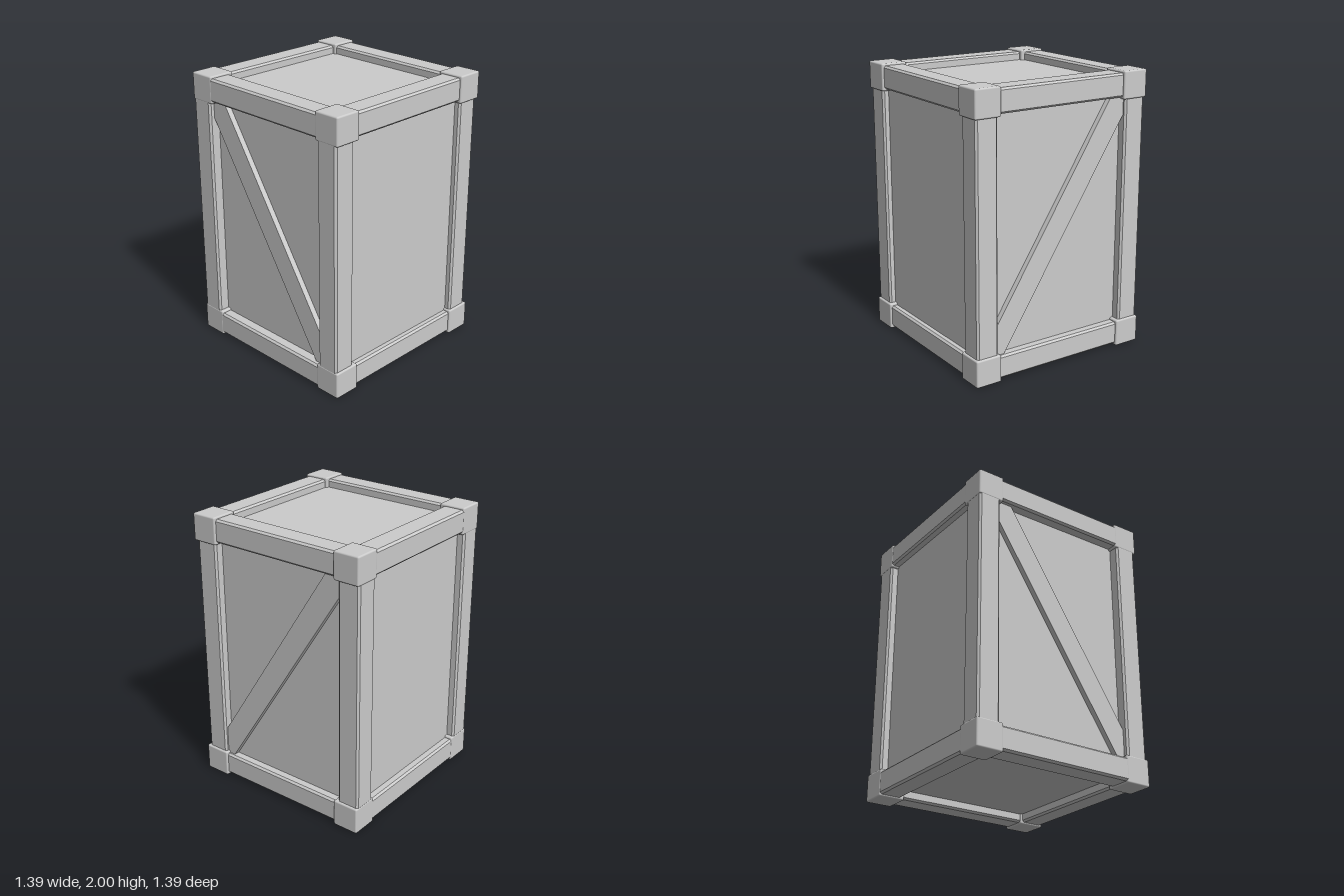
import * as THREE from 'three';
import { RoundedBoxGeometry } from 'three/addons/geometries/RoundedBoxGeometry.js';

export function createModel() {
  const crate = new THREE.Group();
  crate.name = 'crate';
  const mat = new THREE.MeshStandardMaterial({ color: 0xcccccc });

  const add = (name, geometry, x, y, z) => {
    const mesh = new THREE.Mesh(geometry, mat);
    mesh.name = name;
    mesh.position.set(x, y, z);
    crate.add(mesh);
    return mesh;
  };

  // Square bar with chamfered edges, centred, running along z
  const beamGeometry = (length, size = 0.166, c = 0.014) => {
    const h = size / 2, k = h - c;
    const section = new THREE.Shape([
      [h, -k], [h, k], [k, h], [-k, h], [-h, k], [-h, -k], [-k, -h], [k, -h],
    ].map(([x, y]) => new THREE.Vector2(x, y)));
    const g = new THREE.ExtrudeGeometry(section, { depth: length, bevelEnabled: false });
    return g.translate(0, 0, -length / 2);
  };

  // Recessed panels form the body of the crate
  add('panels', new THREE.BoxGeometry(1.27, 1.85, 1.23), 0, 1, 0);

  // Frame beams sit very slightly off centre
  const r = 0.603, ox = -0.006, oz = 0.007;
  const levels = [0.096, 1.902];
  const across = beamGeometry(1.1).rotateY(Math.PI / 2);
  const along = beamGeometry(1.1);
  const upright = beamGeometry(1.7).rotateX(Math.PI / 2);
  for (const s of [-1, 1]) {
    for (const y of levels) {
      add('crossBeam', across, 0, y, s * r + oz);
      add('sideBeam', along, s * r + ox, y, 0);
    }
    for (const t of [-1, 1]) add('cornerPost', upright, s * r + ox, 1, t * r + oz);
  }

  // Corner blocks
  const block = new RoundedBoxGeometry(0.195, 0.195, 0.195, 2, 0.012);
  for (const x of [-1, 1])
    for (const z of [-1, 1])
      for (const y of [0.0975, 1.9025]) add('cornerBlock', block, x * 0.5975, y, z * 0.5975);

  // Diagonal planks on the front and back, ends tucked under the frame
  const plank = new THREE.Shape([
    [-0.6, 1.808], [0.505, 0.1], [0.6, 0.1], [0.6, 0.25], [-0.462, 1.9], [-0.6, 1.9],
  ].map(([x, y]) => new THREE.Vector2(x, y)));
  const brace = new THREE.ExtrudeGeometry(plank, { depth: 0.06, bevelEnabled: false });
  add('frontBrace', brace, 0, 0, 0.595);
  add('backBrace', brace, 0, 0, -0.655);

  return crate;
}
